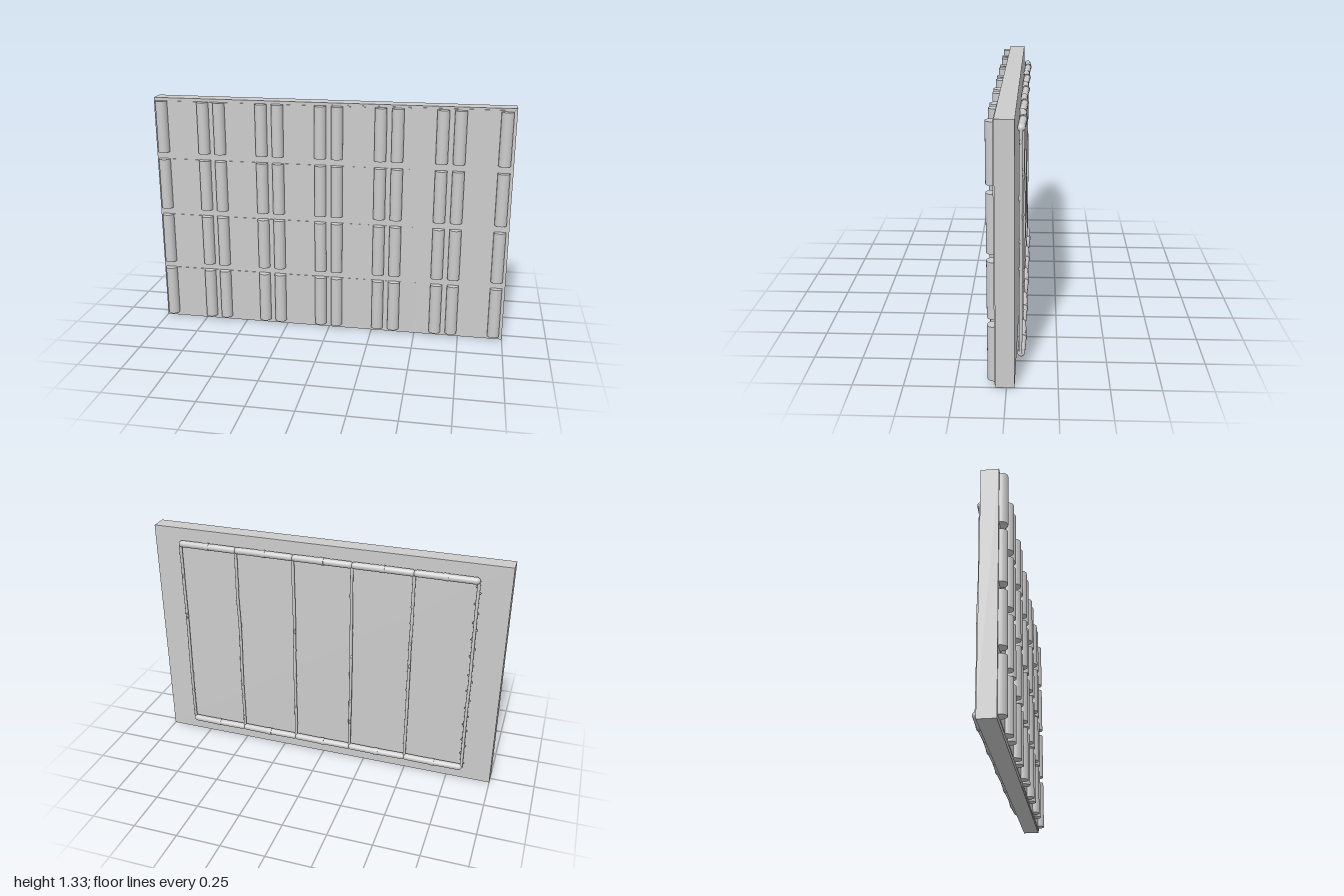
import * as THREE from 'three';

const mat = new THREE.MeshStandardMaterial({ color: 0xcccccc });
const v = (x, y, z) => new THREE.Vector3(x, y, z);

function add(parent, name, geo, x = 0, y = 0, z = 0) {
  const mesh = new THREE.Mesh(geo, mat);
  mesh.name = name;
  mesh.position.set(x, y, z);
  parent.add(mesh);
  return mesh;
}

// round-ended pole between two points
function pole(parent, name, a, b, r) {
  const dir = b.clone().sub(a), len = dir.length();
  const mesh = add(parent, name, new THREE.CapsuleGeometry(r, Math.max(len - 2 * r, 0.001), 4, 14));
  mesh.position.copy(a).add(b).multiplyScalar(0.5);
  mesh.quaternion.setFromUnitVectors(v(0, 1, 0), dir.normalize());
  return mesh;
}

function seeded(seed) {
  return () => (seed = (seed * 16807) % 2147483647) / 2147483647;
}

export function createModel() {
  const model = new THREE.Group();
  model.name = 'panelledWall';
  const rand = seeded(4711);

  // main slab
  add(model, 'slab', new THREE.BoxGeometry(2, 1.33, 0.092), 0, 0.665, 0.007);

  // thin facing plate, tilted so that its right end stands proud
  const facing = add(model, 'facingPlate', new THREE.BoxGeometry(1.98, 1.31, 0.01), 0, 0.665, 0.0485);
  facing.rotation.y = -0.005;

  // four rows of panels, each bay flanked by two round posts
  const posts = new THREE.Group();
  posts.name = 'frontPosts';
  model.add(posts);
  const postGeo = new THREE.CylinderGeometry(0.033, 0.033, 0.292, 24);
  for (let row = 0; row < 4; row++) {
    const y = 0.17 + row * 0.3325;
    add(model, 'rowPanel', new THREE.BoxGeometry(1.95, 0.29, 0.01), 0, y, 0.051);
    for (let col = 0; col < 6; col++) {
      const x = -0.955 + col * 0.333;
      add(posts, 'post', postGeo, x, y, 0.061);
      add(posts, 'post', postGeo, x + 0.24, y, 0.061);
    }
  }

  // back frame: top and bottom rails of five slightly bowed, jointed lengths
  const frame = new THREE.Group();
  frame.name = 'backFrame';
  model.add(frame);
  const ringGeo = new THREE.CylinderGeometry(0.021, 0.021, 0.024, 16).rotateZ(Math.PI / 2);
  const pitch = 0.334, x0 = -0.835;
  for (const [y, z] of [[1.247, -0.063], [0.09, -0.066]]) {
    for (let i = 0; i < 5; i++) {
      const a = x0 + i * pitch, mid = a + pitch / 2;
      pole(frame, 'railHalf', v(a - 0.006, y, z), v(mid + 0.01, y + 0.003, z - 0.006), 0.019);
      pole(frame, 'railHalf', v(mid - 0.01, y + 0.003, z - 0.006), v(a + pitch + 0.006, y, z), 0.019);
      add(frame, 'railJoint', ringGeo, mid, y + 0.003, z - 0.006);
    }
  }

  // back frame: six slim, uneven uprights with knots
  for (let i = 0; i < 6; i++) {
    const x = x0 + i * pitch;
    const pts = [];
    for (let k = 0; k <= 8; k++) {
      const bend = k % 8 ? 0.004 : 0;
      pts.push(v(x + (rand() - 0.5) * bend, 0.09 + k * 0.1446, -0.063 + (rand() - 0.5) * bend));
    }
    const path = new THREE.CatmullRomCurve3(pts);
    add(frame, 'upright', new THREE.TubeGeometry(path, 40, 0.0085, 10, false));
    const count = i === 0 ? 22 : 9;
    for (let k = 0; k < count; k++) {
      const p = path.getPoint((k + 0.3 + rand() * 0.5) / count);
      const angle = i === 0 ? (k % 2 ? 0.5 : 2.5) : rand() * Math.PI * 2;
      const reach = i === 0 ? 0.012 : 0.006;
      const knot = add(frame, 'knot', new THREE.SphereGeometry(0.006, 10, 8),
        p.x + Math.cos(angle) * reach, p.y, p.z + Math.sin(angle) * reach);
      knot.scale.y = i === 0 ? 1 : 1.5 + rand() * 2;
    }
  }
  return model;
}
